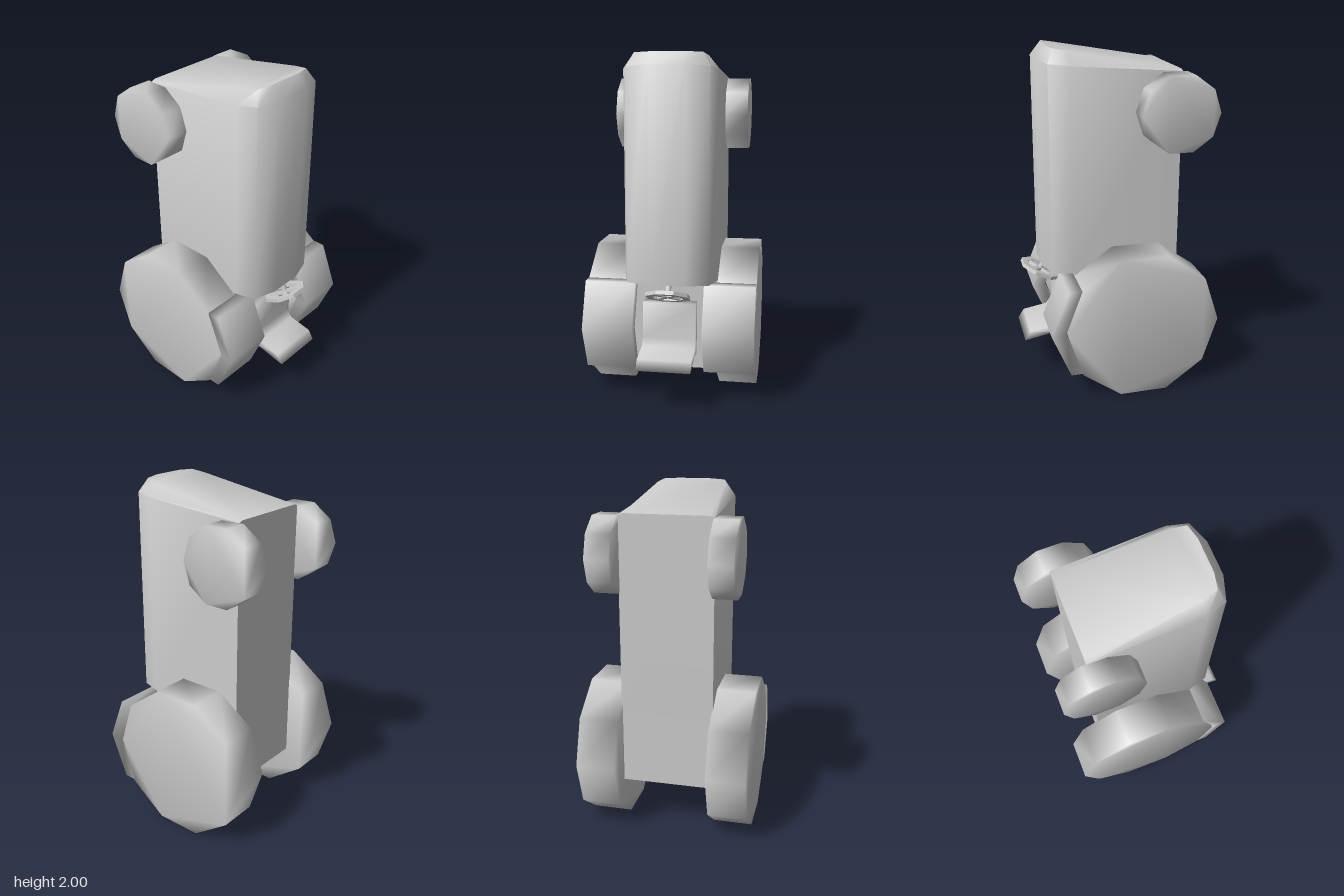
import * as THREE from 'three';
import { mergeVertices, toCreasedNormals } from 'three/addons/utils/BufferGeometryUtils.js';

const material = new THREE.MeshStandardMaterial({ color: 0xcccccc });

function add(parent, name, geometry) {
  const mesh = new THREE.Mesh(geometry, material);
  mesh.name = name;
  parent.add(mesh);
  return mesh;
}

// Share normals over every edge for a soft, low-poly look
function weld(geometry) {
  geometry.deleteAttribute('uv');
  geometry.deleteAttribute('normal');
  const welded = mergeVertices(geometry, 1e-4);
  welded.computeVertexNormals();
  return welded;
}

// Side profile of [z, y] points extruded from x0 to x1
function prism(points, x0, x1) {
  const shape = new THREE.Shape(points.map(([z, y]) => new THREE.Vector2(z, y)));
  const geometry = new THREE.ExtrudeGeometry(shape, { depth: x1 - x0, bevelEnabled: false });
  return geometry.rotateY(-Math.PI / 2).translate(x1, 0, 0);
}

function polygon(sides, radius, cz, cy, turn = 0) {
  return Array.from({ length: sides }, (_, i) => {
    const a = turn + (i / sides) * Math.PI * 2;
    return [cz + radius * Math.cos(a), cy + radius * Math.sin(a)];
  });
}

// Skin mirrored half rings of [x, y, z] points, with a cap at each end
function loft(halfRings) {
  const rings = halfRings.map((half) => [...half, ...half.map(([x, y, z]) => [-x, y, z]).reverse()]);
  const n = rings[0].length;
  const index = [];
  for (let r = 0; r < rings.length - 1; r++) {
    for (let i = 0; i < n; i++) {
      const a = r * n + i, b = r * n + ((i + 1) % n);
      index.push(a, a + n, b, b, a + n, b + n);
    }
  }
  const top = (rings.length - 1) * n;
  for (let i = 0; i < n / 2 - 1; i++) {
    const right = i, next = i + 1, left = n - 1 - i, nextLeft = n - 2 - i;
    for (const [a, b, c] of [[left, nextLeft, right], [right, nextLeft, next]]) {
      index.push(top + a, top + b, top + c, a, c, b);
    }
  }
  const geometry = new THREE.BufferGeometry();
  geometry.setAttribute('position', new THREE.Float32BufferAttribute(rings.flat(2), 3));
  geometry.setIndex(index);
  return toCreasedNormals(geometry, 1.0);
}

function createSteeringWheel() {
  const group = new THREE.Group();
  group.name = 'steeringWheel';
  // Octagonal rim
  const outline = (radius) => polygon(8, radius, 0, 0, Math.PI / 8).map(([x, y]) => new THREE.Vector2(x, y));
  const rim = new THREE.Shape(outline(0.13));
  rim.holes.push(new THREE.Path(outline(0.09)));
  const rimGeometry = new THREE.ExtrudeGeometry(rim, { depth: 0.022, bevelEnabled: false });
  add(group, 'steeringRim', rimGeometry.rotateX(Math.PI / 2).translate(0, 0.011, 0));
  // Crossed spokes
  for (const side of [-1, 1]) {
    add(group, 'steeringSpoke', new THREE.BoxGeometry(0.2, 0.018, 0.03)).rotation.y = side * Math.PI / 4;
  }
  // Column into the hood
  add(group, 'steeringColumn', new THREE.CylinderGeometry(0.017, 0.017, 0.16, 8)).position.y = 0.08;
  group.position.set(0.005, 0.648, 0.422);
  group.rotation.x = -0.45;
  return group;
}

export function createModel() {
  const model = new THREE.Group();
  model.name = 'tractor';

  // Hood with rounded front edges and a sloped, chamfered end
  add(model, 'hood', loft([
    [[0.27, 0.71, -0.36], [0.27, 0.71, 0.27], [0.235, 0.71, 0.385], [0.1, 0.71, 0.427]],
    [[0.27, 1.86, -0.365], [0.27, 1.91, 0.27], [0.235, 1.92, 0.385], [0.1, 1.93, 0.427]],
    [[0.24, 1.87, -0.365], [0.21, 1.982, 0.27], [0.19, 1.996, 0.35], [0.1, 2.0, 0.37]],
  ]));

  // Body between the large wheels
  add(model, 'rearBody', prism([[-0.36, 0.28], [0.26, 0.17], [0.26, 0.71], [-0.36, 0.71]], -0.27, 0.27));

  // Wheels and fenders on both sides
  const fender = [[0.335, 0.175], [0.444, 0.435], [0.34, 0.697], [0.265, 0.697], [0.365, 0.435], [0.262, 0.175]];
  for (const [side, prefix] of [[1, 'left'], [-1, 'right']]) {
    const pair = (name, points, inner, outer) => add(model, prefix + name,
      weld(prism(points, Math.min(side * inner, side * outer), Math.max(side * inner, side * outer))));
    pair('LargeWheel', polygon(10, 0.45, -0.1, 0.43), 0.265, 0.495);
    pair('SmallWheel', polygon(10, 0.225, -0.322, 1.645), 0.265, 0.403);
    pair('Fender', fender, 0.2, 0.495);
  }

  // Seat with its backrest
  add(model, 'seat', weld(prism([
    [0.28, 0.27], [0.38, 0.277], [0.55, 0.245], [0.515, 0.3], [0.37, 0.325], [0.335, 0.37], [0.33, 0.58], [0.255, 0.58],
  ], -0.158, 0.152)));

  model.add(createSteeringWheel());
  return model;
}
